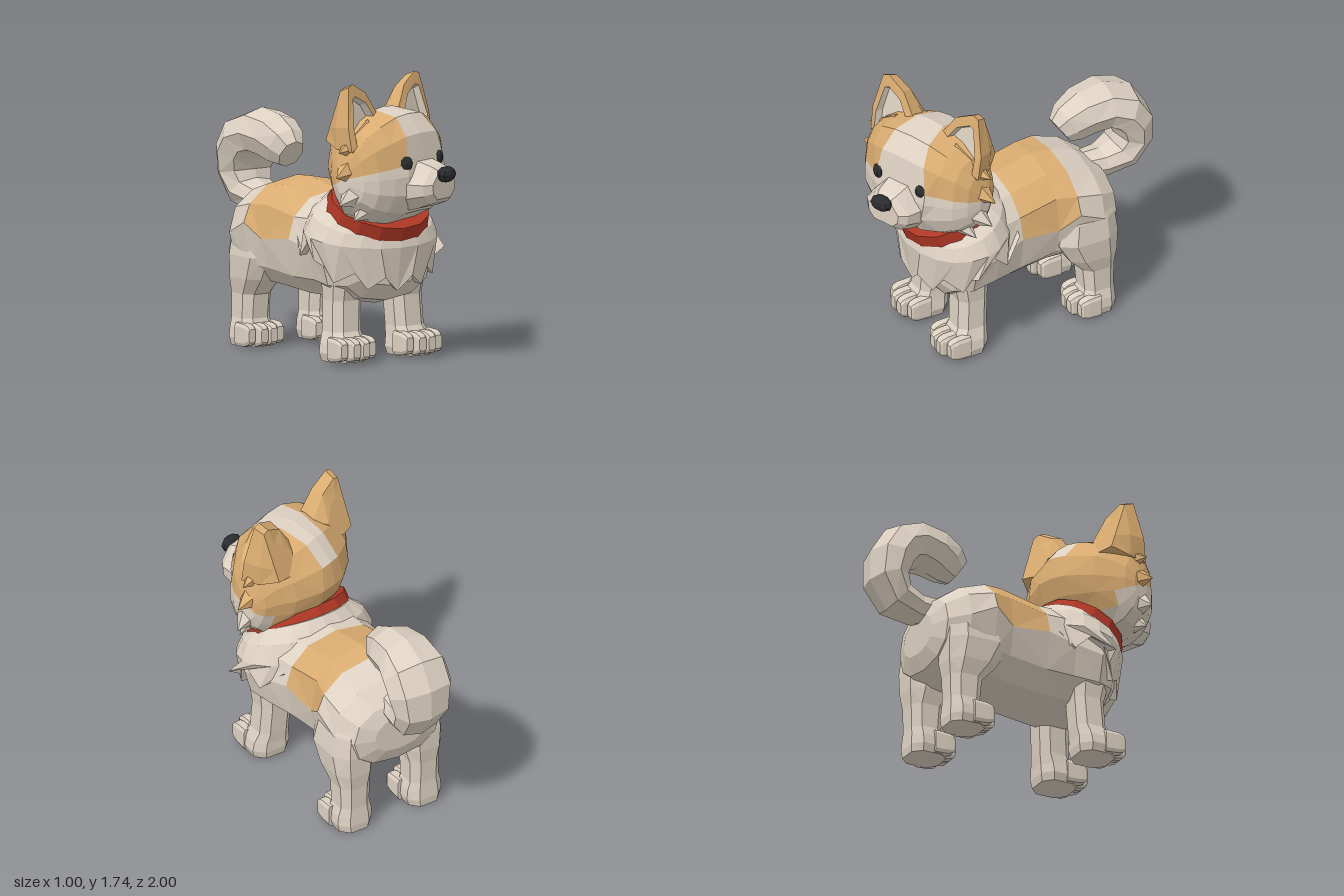
import * as THREE from 'three';

const cream = new THREE.MeshStandardMaterial({ color: 0xddd1c2 });
const tan = new THREE.MeshStandardMaterial({ color: 0xdaac71 });
const red = new THREE.MeshStandardMaterial({ color: 0xb03725 });
const dark = new THREE.MeshStandardMaterial({ color: 0x2b2c2f });
cream.name = 'cream fur';
tan.name = 'tan fur';
red.name = 'red collar';
dark.name = 'dark nose and eyes';

const V = (x, y, z) => new THREE.Vector3(x, y, z);

// n points around a closed ring; p < 1 makes the section boxier
function ring(n, at, p = 0.85, phase = 0) {
  const soft = (v) => Math.sign(v) * Math.abs(v) ** p;
  return Array.from({ length: n }, (_, j) => {
    const a = ((j + phase) / n) * Math.PI * 2;
    return at(soft(Math.sin(a)), soft(Math.cos(a)), j);
  });
}

// Closed, faceted skin over rings; pick(i, j) gives the material of each face
function loft(name, rings, pick = () => cream) {
  const n = rings[0].length;
  const buckets = new Map();
  let volume = 0;
  const tri = (m, a, b, c) => {
    if (!buckets.has(m)) buckets.set(m, []);
    buckets.get(m).push([a, b, c]);
    volume += a.dot(b.clone().cross(c));
  };
  for (let i = 0; i < rings.length - 1; i++) {
    for (let j = 0; j < n; j++) {
      const k = (j + 1) % n, m = pick(i, j);
      const a = rings[i][j], b = rings[i][k], c = rings[i + 1][k], d = rings[i + 1][j];
      if ((i + j) % 2) { tri(m, a, b, c); tri(m, a, c, d); }
      else { tri(m, a, b, d); tri(m, b, c, d); }
    }
  }
  for (const [i, r, start] of [[-1, rings[0], true], [rings.length - 1, rings.at(-1), false]]) {
    const mid = r.reduce((s, p) => s.add(p), V(0, 0, 0)).divideScalar(n);
    r.forEach((p, j) => {
      const q = r[(j + 1) % n];
      if (start) tri(pick(i, j), mid, q, p);
      else tri(pick(i, j), mid, p, q);
    });
  }
  const pts = [], mats = [...buckets.keys()];
  const geo = new THREE.BufferGeometry();
  mats.forEach((m, g) => {
    const tris = buckets.get(m);
    geo.addGroup(pts.length, tris.length * 3, g);
    for (const [a, b, c] of tris) pts.push(a, ...(volume > 0 ? [b, c] : [c, b]));
  });
  geo.setFromPoints(pts);
  geo.computeVertexNormals();
  const mesh = new THREE.Mesh(geo, mats.length > 1 ? mats : mats[0]);
  mesh.name = name;
  return mesh;
}

// Facets a built-in geometry
function faceted(name, geo, mat) {
  const g = geo.index ? geo.toNonIndexed() : geo;
  g.computeVertexNormals();
  const mesh = new THREE.Mesh(g, mat);
  mesh.name = name;
  return mesh;
}

// Pointed fur tuft from a base point to a tip
function tuft(name, base, tip, r, mat) {
  const dir = tip.clone().sub(base), len = dir.length();
  const mesh = faceted(name, new THREE.ConeGeometry(r, len, 5).scale(1, 1, 0.9), mat);
  mesh.position.copy(base).add(tip).multiplyScalar(0.5);
  mesh.quaternion.setFromUnitVectors(V(0, 1, 0), dir.normalize());
  return mesh;
}

function makeBody() {
  // z, centre x, half width, bottom, top, flank height
  const rows = [
    [-0.66, -0.03, 0.18, 0.56, 0.8, 0.68], [-0.62, -0.035, 0.31, 0.46, 0.89, 0.68], [-0.5, -0.04, 0.39, 0.4, 0.98, 0.7],
    [-0.33, -0.045, 0.4, 0.37, 1.04, 0.78], [-0.2, -0.045, 0.36, 0.36, 1.05, 0.69], [0.06, -0.03, 0.36, 0.34, 1.0, 0.72],
    [0.25, 0, 0.38, 0.34, 1.01, 0.68], [0.42, 0, 0.4, 0.34, 0.95, 0.64], [0.53, 0, 0.34, 0.37, 0.86, 0.62],
    [0.61, 0, 0.22, 0.47, 0.76, 0.61],
  ];
  const rings = rows.map(([z, cx, w, lo, hi, flank]) =>
    ring(12, (s, c, j) => V(cx + s * w, j % 6 === 3 ? flank : (lo + hi) / 2 + (c * (hi - lo)) / 2, z)));
  // tan saddle patch on the back
  return loft('body', rings, (i, j) => (i >= 3 && i < 5 && (j < 3 || j > 8) ? tan : cream));
}

// Thick chest fur with a zigzag hem
function makeRuff() {
  // half of the hem from the breastbone round to the back
  const hem = [
    [0, 0.44, 0.65], [0.1, 0.53, 0.67], [0.2, 0.46, 0.62], [0.27, 0.56, 0.58], [0.37, 0.5, 0.5],
    [0.41, 0.6, 0.46], [0.49, 0.65, 0.46], [0.44, 0.73, 0.32], [0.42, 0.64, 0.22], [0.36, 0.78, 0.1], [0, 0.8, 0.06],
  ];
  const last = hem.length - 1;
  const round = (at) => {
    const side = hem.map((p, i) => at(p, (i / last) * Math.PI));
    return [...side, ...side.slice(1, last).reverse().map((p) => V(-p.x, p.y, p.z))];
  };
  const oval = (w, d, y, z, tilt) => round((_, a) =>
    V(w * Math.sin(a), y - tilt * Math.cos(a), z + d * Math.cos(a)));
  return loft('chestRuff', [
    oval(0.31, 0.24, 0.93, 0.41, 0.12), oval(0.4, 0.29, 0.87, 0.385, 0.1), oval(0.45, 0.32, 0.77, 0.37, 0.06),
    round(([x, y, z]) => V(x, y, z)),
    round(([x, y, z]) => V(x * 0.8, y + 0.02, 0.35 + (z - 0.35) * 0.8)),
  ]);
}

function makeTail() {
  // z, y, half width, half thickness along the curl
  const rows = [
    [-0.5, 0.85, 0.09, 0.085], [-0.68, 0.845, 0.12, 0.09], [-0.82, 0.885, 0.16, 0.105],
    [-0.885, 1.0, 0.19, 0.115], [-0.865, 1.13, 0.22, 0.135], [-0.8, 1.225, 0.22, 0.145],
    [-0.69, 1.265, 0.19, 0.145], [-0.56, 1.245, 0.165, 0.145], [-0.46, 1.195, 0.13, 0.135],
    [-0.4, 1.155, 0.085, 0.1],
  ];
  const rings = rows.map(([z, y, w, t], i) => {
    const a = rows[Math.max(i - 1, 0)], b = rows[Math.min(i + 1, rows.length - 1)];
    const n = V(0, -(b[0] - a[0]), b[1] - a[1]).normalize();
    return ring(8, (s, c) => V(-0.04 + s * w, y, z).addScaledVector(n, c * t), 0.9);
  });
  return loft('tail', rings);
}

// rows: y, centre x, centre z, half width, half depth
function makeLeg(name, side, rows, toeZ, toeY) {
  const g = new THREE.Group();
  g.name = name;
  g.add(loft('legAndPaw', rows.map(([y, cx, cz, w, d]) =>
    ring(8, (s, c) => V(side * cx + s * w, y, cz + c * d), 0.7, 0.5))));
  for (let k = 0; k < 4; k++) {
    const cx = side * rows[1][1] + (k - 1.5) * 0.07;
    const back = k % 3 ? 0 : -0.035;
    const toe = [[-0.14, 0.034, 0.075], [-0.05, 0.036, 0.07], [-0.015, 0.034, 0.058], [0, 0.026, 0.042]];
    g.add(loft('toe', toe.map(([z, w, h]) =>
      ring(8, (s, c) => V(cx + s * w, toeY + 0.07 + c * h, toeZ + z + back), 0.4, 0.5))));
  }
  return g;
}

function makeEar(side) {
  // outline from the outer base round the tip to the inner base
  const outline = [[0.43, 1.33], [0.435, 1.48], [0.38, 1.72], [0.335, 1.735], [0.21, 1.67], [0.1, 1.51], [0.22, 1.3]];
  const at = (k, z, lean) => outline.map(([x, y]) =>
    V(side * (0.28 + (x - 0.28) * k), 1.44 + (y - 1.44) * k, z - (y - 1.44) * lean));
  const rings = [at(0.55, -0.14, -0.2), at(0.9, -0.05, 0), at(1, 0.06, 0.15), at(0.74, 0.075, 0.15), at(0.66, 0.025, 0.1)];
  return loft(side > 0 ? 'leftEar' : 'rightEar', rings, (i) => (i >= 3 ? cream : tan));
}

function makeHead() {
  const g = new THREE.Group();
  g.name = 'head';
  // middle profile as z, y, starting on top and running down the face
  const profile = [
    [0.02, 1.56], [0.2, 1.53], [0.29, 1.42], [0.32, 1.25], [0.33, 1.18], [0.325, 1.06], [0.27, 0.94],
    [0.12, 0.86], [-0.08, 0.88], [-0.19, 0.98], [-0.27, 1.1], [-0.31, 1.22], [-0.28, 1.37], [-0.16, 1.5],
  ];
  // x, then scale of height, front and back
  const half = [
    [0.1, 0.99, 0.99, 0.97], [0.26, 0.88, 0.85, 0.7], [0.35, 0.73, 0.68, 0.45],
    [0.41, 0.52, 0.46, 0.3], [0.44, 0.25, 0.2, 0.12],
  ];
  const slices = [...half.map(([x, ...k]) => [-x, ...k]).reverse(), [0, 1, 1, 1], ...half];
  // the blaze widens down the brow, more on the left
  const spread = [0, 0.03, 0.055, 0.08, 0.08, 0.06, 0.03, 0, 0, 0, 0, 0, -0.02, -0.015];
  const rings = slices.map(([x, k, front, back]) => profile.map(([z, y], j) => {
    const widen = Math.abs(x) === 0.1 ? (x > 0 ? 1.35 : -1) * spread[j] : 0;
    return V(x + widen, 1.18 - Math.abs(x) * 0.06 + (y - 1.18) * k, z * (z > 0 ? front : back));
  }));
  // tan mask with a cream blaze down the middle
  g.add(loft('skull', rings, (i, j) => {
    if (i === 4 || i === 5) return j >= 9 && j <= 11 ? tan : cream;
    const outer = i < 2 || i > 7;
    return j < 3 || j > (outer ? 9 : 8) ? tan : cream;
  }));

  // z, half width, bottom, top
  const muzzle = [[0.2, 0.21, 0.94, 1.28], [0.34, 0.185, 0.97, 1.25], [0.42, 0.165, 1.0, 1.225], [0.46, 0.12, 1.03, 1.2]];
  g.add(loft('muzzle', muzzle.map(([z, w, lo, hi]) => {
    const shape = [[0.4, 1], [1, 0.55], [0.95, 0.25], [0.6, 0], [-0.6, 0], [-0.95, 0.25], [-1, 0.55], [-0.4, 1]];
    return shape.map(([x, t]) => V(x * w, lo + (hi - lo) * t, z));
  })));
  const nose = faceted('nose', new THREE.SphereGeometry(1, 10, 6).scale(0.077, 0.05, 0.05), dark);
  nose.position.set(0, 1.18, 0.477);
  g.add(nose);

  for (const s of [-1, 1]) {
    const eye = faceted(s > 0 ? 'leftEye' : 'rightEye',
      new THREE.SphereGeometry(1, 10, 6).scale(0.05, 0.048, 0.036), dark);
    eye.position.set(s * 0.175, 1.25, 0.295);
    eye.rotation.y = s * 0.6;
    g.add(eye, makeEar(s));
    // cheek fur
    g.add(tuft('upperCheekTuft', V(s * 0.22, 1.37, 0.03), V(s * 0.49, 1.33, 0.02), 0.15, tan));
    g.add(tuft('middleCheekTuft', V(s * 0.22, 1.25, 0.02), V(s * 0.53, 1.18, 0.03), 0.19, tan));
    g.add(tuft('lowerCheekTuft', V(s * 0.2, 1.13, 0.08), V(s * 0.515, 1.01, 0.04), 0.21, cream));
    g.add(tuft('jawTuft', V(s * 0.14, 1.06, 0.1), V(s * 0.43, 0.91, 0.09), 0.18, cream));
  }
  g.position.set(-0.012, 0, 0.5);
  g.rotation.y = 0.35;
  return g;
}

export function createModel() {
  const dog = new THREE.Group();
  dog.name = 'dog';
  dog.add(makeBody(), makeRuff(), makeTail(), makeHead());

  // neck and collar share one forward tilt
  const neck = faceted('neck', new THREE.CylinderGeometry(0.31, 0.37, 0.22, 12).scale(1, 1, 0.86), cream);
  neck.position.set(0, 0.83, 0.4);
  const collar = faceted('collar', new THREE.CylinderGeometry(0.325, 0.34, 0.085, 14).scale(1, 1, 0.86), red);
  collar.position.set(0, 0.925, 0.45);
  neck.rotation.x = collar.rotation.x = 0.49;
  dog.add(neck, collar);

  const front = [
    [0.01, 0.245, 0.43, 0.125, 0.125], [0.06, 0.245, 0.43, 0.14, 0.135], [0.12, 0.245, 0.42, 0.13, 0.125],
    [0.19, 0.235, 0.395, 0.112, 0.105], [0.38, 0.225, 0.385, 0.112, 0.105], [0.54, 0.23, 0.4, 0.12, 0.13],
    [0.7, 0.25, 0.4, 0.11, 0.14],
  ];
  const rear = [
    [0, 0.25, -0.48, 0.115, 0.125], [0.05, 0.25, -0.48, 0.13, 0.13], [0.11, 0.25, -0.485, 0.125, 0.12],
    [0.17, 0.25, -0.495, 0.108, 0.105], [0.32, 0.25, -0.49, 0.11, 0.115], [0.42, 0.25, -0.45, 0.135, 0.17],
    [0.56, 0.25, -0.41, 0.15, 0.215], [0.7, 0.24, -0.42, 0.14, 0.19], [0.82, 0.22, -0.43, 0.1, 0.14],
  ];
  for (const s of [-1, 1]) {
    const label = s > 0 ? 'left' : 'right';
    const rearLeg = makeLeg(label + 'RearLeg', s, rear, -0.295, 0.005);
    rearLeg.position.x = -0.025;
    dog.add(makeLeg(label + 'FrontLeg', s, front, 0.625, 0.02), rearLeg);
  }
  return dog;
}
